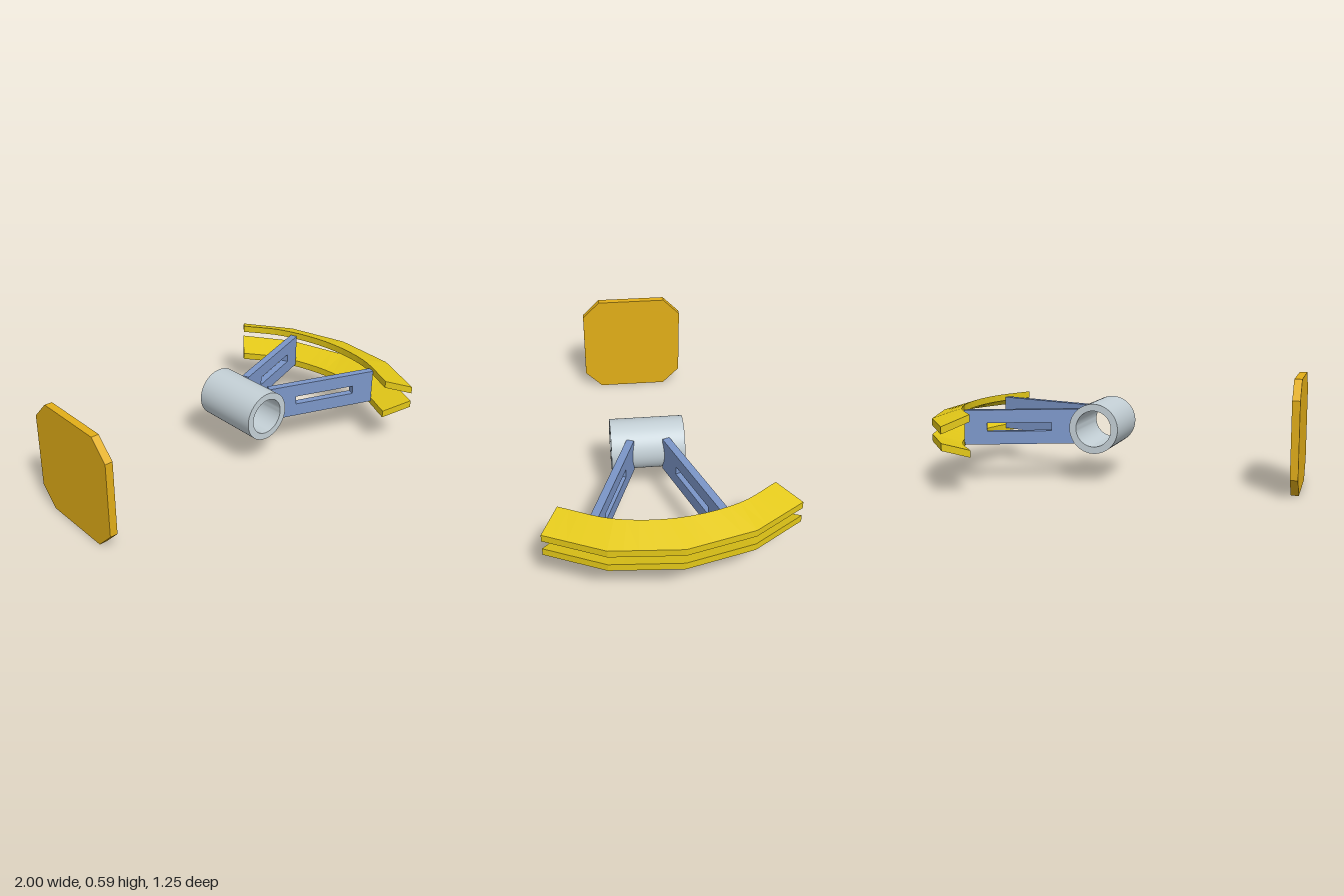
import * as THREE from 'three';
import { toCreasedNormals } from 'three/addons/utils/BufferGeometryUtils.js';

const MID_Y = 0.296;   // shared height of all parts
const HUB_X = 0.086;
const HUB_Z = 0.072;

const paint = (color) => new THREE.MeshStandardMaterial({ color });

function polygon(points, Type = THREE.Shape) {
  return new Type(points.map(([x, y]) => new THREE.Vector2(x, y)));
}

function rect(x0, x1, h, Type) {
  return polygon([[x0, -h], [x1, -h], [x1, h], [x0, h]], Type);
}

// Extrusion centred on its own depth
function slab(shape, depth, curveSegments = 12) {
  const g = new THREE.ExtrudeGeometry(shape, { depth, bevelEnabled: false, curveSegments });
  return g.translate(0, 0, -depth / 2);
}

function addMesh(parent, name, geometry, material) {
  const mesh = new THREE.Mesh(geometry, material);
  mesh.name = name;
  parent.add(mesh);
  return mesh;
}

// Curved rail: straight facets outside, smooth arc inside.
// heights = [outer bottom, outer top, inner top, inner bottom]
function railGeometry(heights) {
  const outer = [[0.725, -0.627], [0.902, -0.37], [0.997, -0.028], [0.972, 0.327], [0.836, 0.625]];
  const inner = [[0.622, -0.51], [0.757, -0.31], [0.834, -0.014], [0.812, 0.286], [0.7, 0.546]];
  const arc = new THREE.CatmullRomCurve3(inner.map(([x, z]) => new THREE.Vector3(x, 0, z)));
  const steps = 5;
  const count = (outer.length - 1) * steps;
  const sections = [];
  for (let i = 0; i <= count; i++) {
    const k = Math.min(Math.floor(i / steps), outer.length - 2);
    const t = i / steps - k;
    const ox = THREE.MathUtils.lerp(outer[k][0], outer[k + 1][0], t);
    const oz = THREE.MathUtils.lerp(outer[k][1], outer[k + 1][1], t);
    const p = arc.getPoint(i / count);
    sections.push(heights.map((y, j) => (j < 2 ? [ox, y, oz] : [p.x, y, p.z])));
  }
  const pos = [];
  const quad = (a, b, c, d) => pos.push(...a, ...b, ...c, ...a, ...c, ...d);
  for (let i = 0; i < count; i++) {
    const A = sections[i], B = sections[i + 1];
    for (let j = 0; j < 4; j++) {
      const n = (j + 1) % 4;
      quad(A[j], A[n], B[n], B[j]);
    }
  }
  const S = sections[0], E = sections[count];
  quad(S[3], S[2], S[1], S[0]);
  quad(E[0], E[1], E[2], E[3]);
  const g = new THREE.BufferGeometry();
  g.setAttribute('position', new THREE.Float32BufferAttribute(pos, 3));
  g.computeVertexNormals();
  return g;
}

export function createModel() {
  const model = new THREE.Group();
  model.name = 'hubWithCurvedRailsAndPlate';
  const steel = paint(0xc4d0d6);
  const blue = paint(0x7b96c8);
  const yellow = paint(0xe3c818);
  const amber = paint(0xe2ae18);

  // Hollow hub tube along z
  const ring = new THREE.Shape().absarc(0, 0, 0.134, 0, Math.PI * 2);
  ring.holes.push(new THREE.Path().absarc(0, 0, 0.097, 0, Math.PI * 2, true));
  const hub = addMesh(model, 'hubTube', toCreasedNormals(slab(ring, 0.386, 32), 0.6), steel);
  hub.position.set(HUB_X, MID_Y, HUB_Z);

  // Two slotted arms splayed from the hub to the rails
  const armShape = rect(0, 0.626, 0.094);
  armShape.holes.push(rect(0.157, 0.504, 0.023, THREE.Path));
  const armGeometry = slab(armShape, 0.04);
  for (const side of [1, -1]) {
    const arm = addMesh(model, side > 0 ? 'frontArm' : 'backArm', armGeometry, blue);
    arm.position.set(0.19, MID_Y, HUB_Z + side * 0.093);
    arm.rotation.y = -side * THREE.MathUtils.degToRad(20);
  }

  // Upper and lower rails, mirrored about the middle height
  const [h0, h1, h2, h3] = [0.023, 0.061, 0.111, 0.073];
  addMesh(model, 'upperRail', railGeometry([h0, h1, h2, h3].map((h) => MID_Y + h)), yellow);
  addMesh(model, 'lowerRail', railGeometry([-h1, -h0, -h3, -h2].map((h) => MID_Y + h)), yellow);

  // Separate octagonal plate facing along x
  const r = 0.296, c = 0.198;
  const plateShape = polygon([[-r, -c], [-c, -r], [c, -r], [r, -c], [r, c], [c, r], [-c, r], [-r, c]]);
  const plate = addMesh(model, 'octagonalPlate', slab(plateShape, 0.04), amber);
  plate.rotation.y = Math.PI / 2;
  plate.position.set(-0.98, MID_Y, HUB_Z);

  return model;
}
